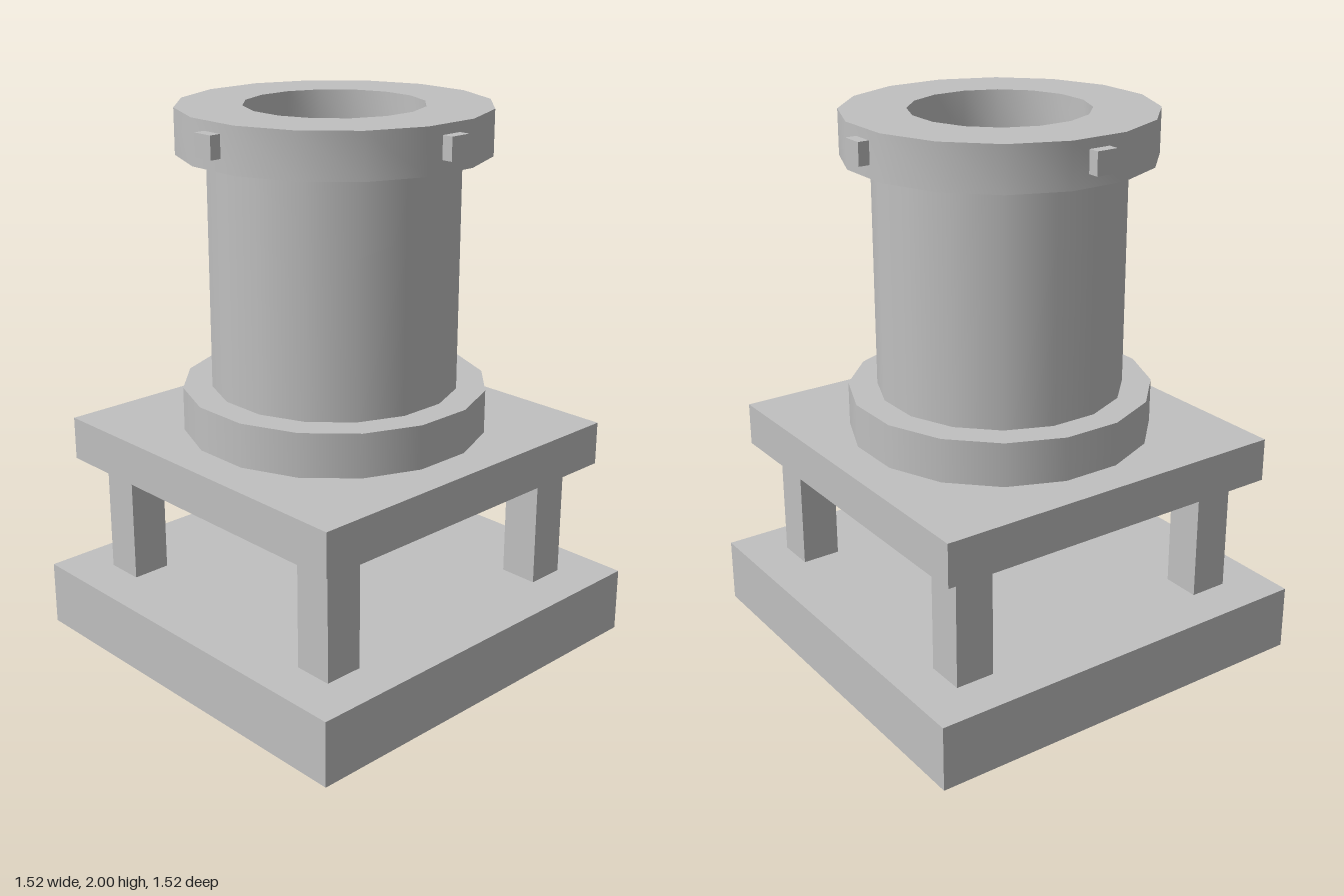
import * as THREE from 'three';
import { toCreasedNormals } from 'three/addons/utils/BufferGeometryUtils.js';

const SIDES = 16;
const TURN = Math.PI / SIDES; // puts a flat side towards each axis

export function createModel() {
  const model = new THREE.Group();
  model.name = 'pedestalDrum';

  const grey = new THREE.MeshStandardMaterial({ color: 0xc0c0c0 });
  grey.name = 'stone grey';

  const add = (name, geometry, x = 0, y = 0, z = 0) => {
    const mesh = new THREE.Mesh(geometry, grey);
    mesh.name = name;
    mesh.position.set(x, y, z);
    model.add(mesh);
    return mesh;
  };

  // box and drum standing between two heights
  const block = (name, w, y0, y1, d, x = 0, z = 0) =>
    add(name, new THREE.BoxGeometry(w, y1 - y0, d), x, (y0 + y1) / 2, z);
  const drum = (name, r, y0, y1) =>
    add(name, new THREE.CylinderGeometry(r, r, y1 - y0, SIDES, 1, false, TURN), 0, (y0 + y1) / 2, 0);

  // square base, four legs and the plate they carry
  block('base', 1.52, 0, 0.24, 1.52);
  for (const x of [-0.525, 0.525]) {
    for (const z of [-0.525, 0.525]) block('leg', 0.145, 0.24, 0.68, 0.145, x, z);
  }
  block('plate', 1.36, 0.68, 0.84, 1.36);

  // lower flange and body, whose top closes the opening
  drum('lowerFlange', 0.55, 0.84, 1.0);
  drum('body', 0.445, 1.0, 1.84);

  // open top ring
  const profile = [[0.317, 1.84], [0.55, 1.84], [0.55, 2], [0.317, 2], [0.317, 1.84]]
    .map(([r, y]) => new THREE.Vector2(r, y));
  add('topRing', toCreasedNormals(new THREE.LatheGeometry(profile, SIDES, TURN), 0.6));

  // small lugs around the top ring
  for (let i = 0; i < 4; i++) {
    const a = (i * Math.PI) / 2;
    const lug = block('lug', 0.08, 1.885, 1.965, 0.08, Math.sin(a) * 0.54, Math.cos(a) * 0.54);
    lug.rotation.y = a;
  }

  return model;
}
